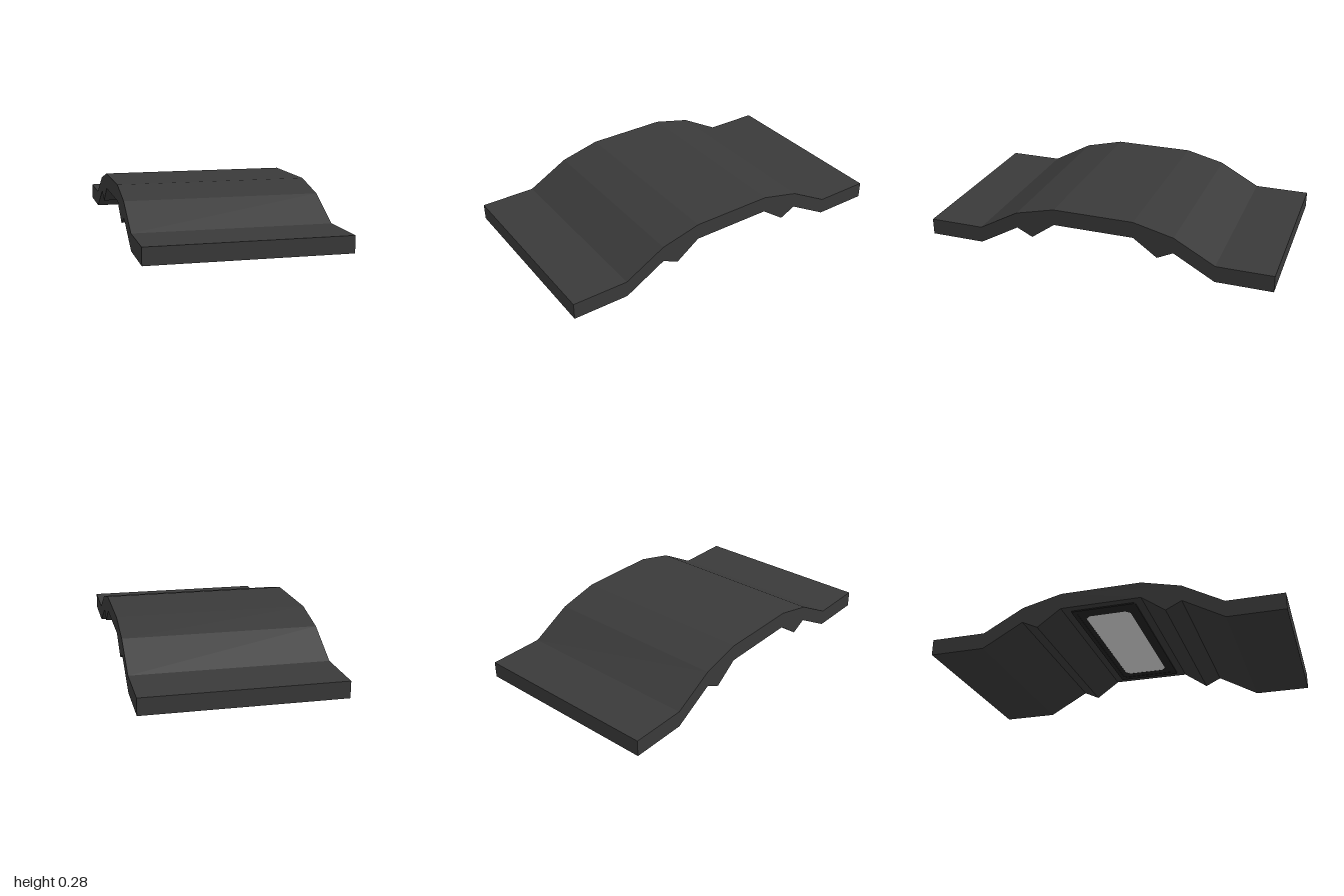
import * as THREE from 'three';

const darkGrey = new THREE.MeshStandardMaterial({ color: 0x3a3a3a });
darkGrey.name = 'dark grey';
const nearBlack = new THREE.MeshStandardMaterial({ color: 0x222222 });
nearBlack.name = 'near black';
const paleGrey = new THREE.MeshStandardMaterial({ color: 0xdfdfdf });
paleGrey.name = 'pale grey';

const WIDTH = 1.09;
const UNDERSIDE = 0.183;

// Rectangle with cut corners, as a shape or a hole
function chamferedRect(Type, hx, hz, c) {
  return new Type([
    [hx, -hz + c], [hx, hz - c], [hx - c, hz], [-hx + c, hz],
    [-hx, hz - c], [-hx, -hz + c], [-hx + c, -hz], [hx - c, -hz],
  ].map(([x, z]) => new THREE.Vector2(x, z)));
}

// Thin horizontal plate hanging from the raised middle
function plate(name, shape, thickness, material) {
  const geo = new THREE.ExtrudeGeometry(shape, { depth: thickness, bevelEnabled: false });
  geo.rotateX(Math.PI / 2);
  const mesh = new THREE.Mesh(geo, material);
  mesh.name = name;
  mesh.position.y = UNDERSIDE;
  return mesh;
}

export function createModel() {
  const group = new THREE.Group();
  group.name = 'bridgePanel';

  // Half profile (z, y): underside from the middle outwards, then back along the top
  const half = [
    [0.23, UNDERSIDE], [0.365, 0.086], [0.455, 0.13], [0.685, 0], [1, 0],
    [1, 0.093], [0.685, 0.093], [0.455, 0.22], [0.23, 0.275],
  ];
  const mirrored = half.map(([z, y]) => [-z, y]).reverse();
  const profile = new THREE.Shape([...half, ...mirrored].map(([z, y]) => new THREE.Vector2(z, y)));
  const bodyGeo = new THREE.ExtrudeGeometry(profile, { depth: WIDTH, bevelEnabled: false });
  bodyGeo.translate(0, 0, -WIDTH / 2);
  bodyGeo.rotateY(Math.PI / 2);
  const body = new THREE.Mesh(bodyGeo, darkGrey);
  body.name = 'archedBody';
  group.add(body);

  // Stepped frame under the raised middle
  const rings = [
    { name: 'outerFrame', hx: 0.5, hz: 0.185, ix: 0.465, iz: 0.16, cut: 0.004, t: 0.007 },
    { name: 'innerFrame', hx: 0.465, hz: 0.16, ix: 0.42, iz: 0.13, cut: 0.025, t: 0.005 },
  ];
  for (const r of rings) {
    const shape = chamferedRect(THREE.Shape, r.hx, r.hz, 0.004);
    shape.holes.push(chamferedRect(THREE.Path, r.ix, r.iz, r.cut));
    group.add(plate(r.name, shape, r.t, nearBlack));
  }

  // Pale panel set in the frame
  group.add(plate('lightPanel', chamferedRect(THREE.Shape, 0.42, 0.13, 0.025), 0.004, paleGrey));

  return group;
}
